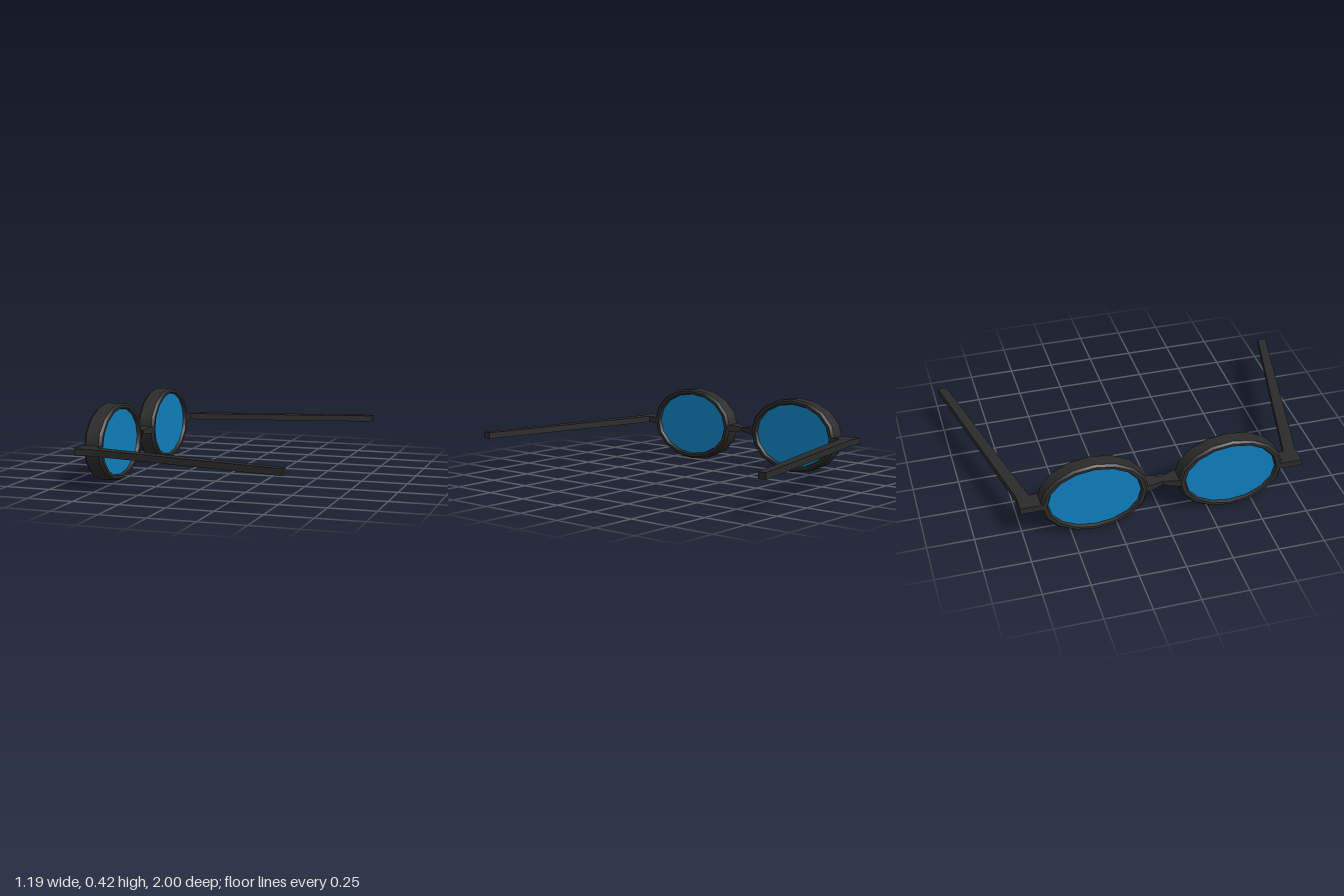
import * as THREE from 'three';
import { toCreasedNormals } from 'three/addons/utils/BufferGeometryUtils.js';

const SIDES = 16;
const FRONT_X = -0.545; // middle of the rims
const MID_Y = 0.21;

// Turn a round form about y into an oval one about x
function toOval(geometry) {
  geometry.rotateZ(Math.PI / 2).scale(1, 0.21, 0.29);
  return toCreasedNormals(geometry, 0.6);
}

// Oval ring with bevelled edges; profile radii are fractions of the oval
function rimGeometry() {
  const profile = [
    [0.855, -0.034], [0.885, -0.05], [0.955, -0.05], [1, -0.037],
    [1, 0.037], [0.955, 0.05], [0.885, 0.05], [0.855, 0.034], [0.855, -0.034],
  ].map(([r, y]) => new THREE.Vector2(r, y));
  return toOval(new THREE.LatheGeometry(profile, SIDES));
}

// Hinge block and splayed arm as one bent outline, drawn in x and z
function armGeometry(side) {
  const outline = [
    [-0.595, 0.64], [-0.495, 0.64], [-0.495, 0.7], [0.595, 0.952],
    [0.595, 1], [-0.495, 0.768], [-0.595, 0.768],
  ].map(([x, z]) => new THREE.Vector2(x, -side * z));
  const geometry = new THREE.ExtrudeGeometry(new THREE.Shape(outline), {
    depth: 0.035, bevelEnabled: false,
  });
  return geometry.rotateX(-Math.PI / 2).translate(0, 0.192, 0);
}

// Bar across the nose, pinched in the middle
function bridgeGeometry() {
  const geometry = new THREE.BoxGeometry(1, 1, 0.18, 1, 1, 4);
  const p = geometry.attributes.position;
  for (let i = 0; i < p.count; i++) {
    const t = Math.min(1, Math.abs(p.getZ(i)) / 0.08);
    p.setX(i, p.getX(i) * (0.044 + 0.056 * t));
    p.setY(i, p.getY(i) * (0.022 + 0.018 * t));
  }
  return toCreasedNormals(geometry, 0.3);
}

export function createModel() {
  const frame = new THREE.MeshStandardMaterial({ name: 'dark frame', color: 0x2b2b2b });
  const glass = new THREE.MeshStandardMaterial({ name: 'blue glass', color: 0x0f7fbd });
  const model = new THREE.Group();
  model.name = 'spectacles';

  const add = (name, geometry, material, x = 0, y = 0, z = 0) => {
    const mesh = new THREE.Mesh(geometry, material);
    mesh.name = name;
    mesh.position.set(x, y, z);
    model.add(mesh);
  };

  const rim = rimGeometry();
  const lens = toOval(new THREE.CylinderGeometry(0.856, 0.856, 0.068, SIDES));
  for (const side of [1, -1]) {
    const label = side > 0 ? 'Near' : 'Far';
    add('rim' + label, rim, frame, FRONT_X, MID_Y, side * 0.37);
    add('lens' + label, lens, glass, FRONT_X, MID_Y, side * 0.37);
    add('arm' + label, armGeometry(side), frame);
  }
  add('bridge', bridgeGeometry(), frame, FRONT_X, MID_Y, 0);
  return model;
}
